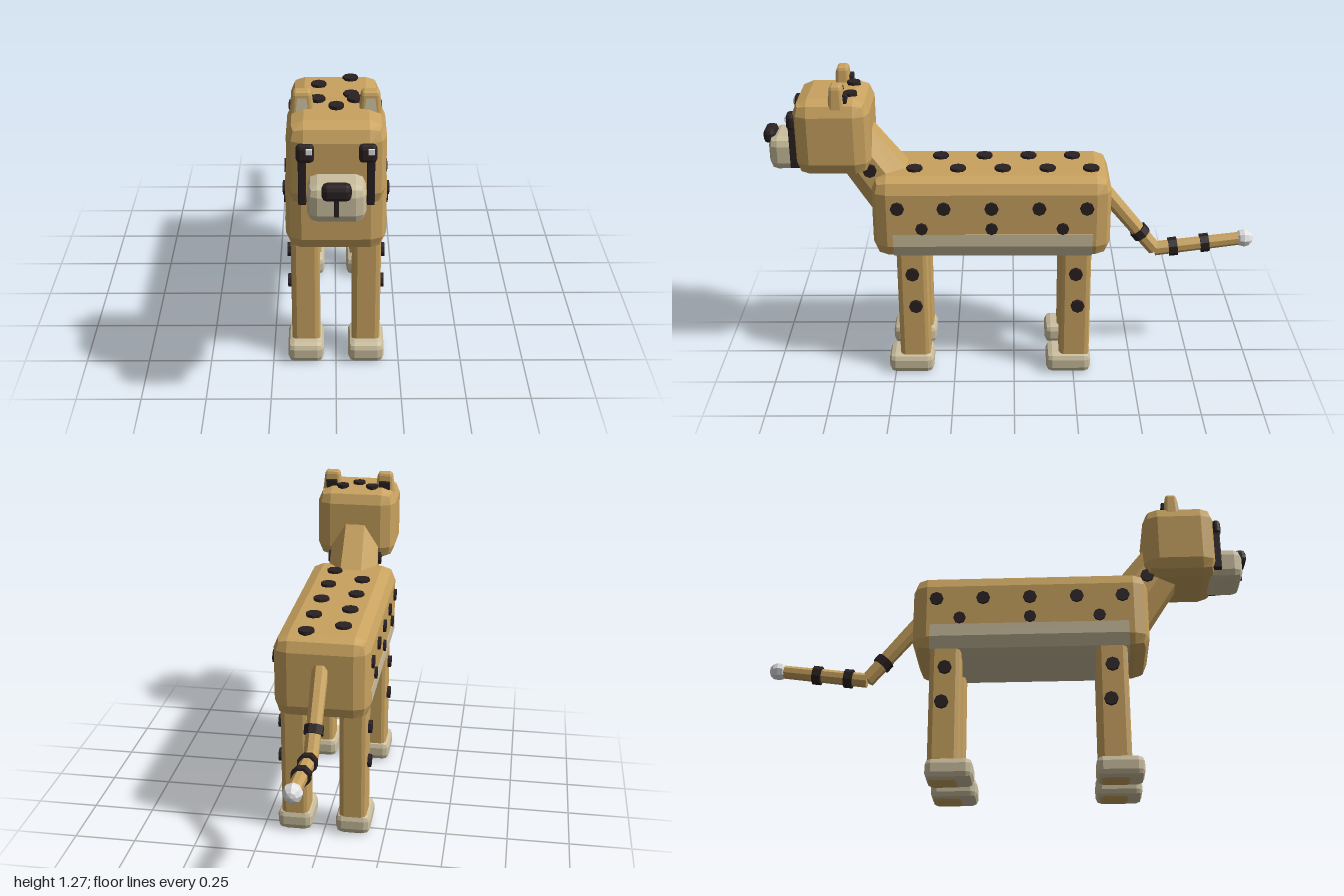
import * as THREE from 'three';
import { RoundedBoxGeometry } from 'three/addons/geometries/RoundedBoxGeometry.js';

export function createModel() {
  const model = new THREE.Group();
  model.name = 'spottedCat';

  const material = (name, color) => {
    const m = new THREE.MeshStandardMaterial({ color });
    m.name = name;
    return m;
  };
  const tan = material('tanFur', 0xc9a35f);
  const cream = material('creamFur', 0xcbbf9f);
  const black = material('blackMarkings', 0x2a2022);
  const white = material('white', 0xe2e2e2);

  // Adds a mesh with faceted normals
  const add = (name, geometry, mat, x = 0, y = 0, z = 0) => {
    const g = geometry.index ? geometry.toNonIndexed() : geometry;
    g.computeVertexNormals();
    const mesh = new THREE.Mesh(g, mat);
    mesh.name = name;
    mesh.position.set(x, y, z);
    model.add(mesh);
    return mesh;
  };

  // Box with bevelled edges, given by its centre and size
  const block = (name, mat, [x, y, z], [w, h, d], r) =>
    add(name, new RoundedBoxGeometry(w, h, d, 1, r), mat, x, y, z);

  // Straight limb in the x = 0 plane between two [y, z] points
  const limb = (name, mat, a, b, ra, rb, sides) => {
    const dy = b[0] - a[0], dz = b[1] - a[1];
    const g = new THREE.CylinderGeometry(rb, ra, Math.hypot(dy, dz), sides);
    g.rotateY(Math.PI / sides).rotateX(Math.atan2(dz, dy));
    add(name, g, mat, 0, (a[0] + b[0]) / 2, (a[1] + b[1]) / 2);
  };

  // Flat octagonal spots facing sideways or upwards
  const sideSpot = (name, x, y, z, r = 0.028) =>
    add(name, new THREE.CylinderGeometry(r, r, 0.02, 8).rotateZ(Math.PI / 2), black, x, y, z);
  const topSpot = (name, x, y, z, r) =>
    add(name, new THREE.CylinderGeometry(r, r, 0.02, 8), black, x, y, z);

  // Body
  block('body', tan, [0, 0.714, 0.09], [0.38, 0.345, 0.96], 0.06);

  // Belly panel wrapped around the lower body
  const belly = new THREE.Shape([
    [-0.193, 0.655], [-0.193, 0.603], [-0.175, 0.554], [-0.13, 0.534],
    [0.13, 0.534], [0.175, 0.554], [0.193, 0.603], [0.193, 0.655],
  ].map(([x, y]) => new THREE.Vector2(x, y)));
  add('belly', new THREE.ExtrudeGeometry(belly, { depth: 0.803, bevelEnabled: false }), cream, 0, 0, -0.316);

  // Neck and head
  limb('neck', tan, [0.73, 0.455], [1.03, 0.67], 0.125, 0.105, 8);
  block('head', tan, [0, 1.047, 0.715], [0.344, 0.315, 0.3], 0.06);
  block('muzzle', cream, [0, 0.962, 0.9], [0.2, 0.138, 0.15], 0.035);
  block('nose', black, [0, 1.02, 0.975], [0.1, 0.06, 0.05], 0.018);
  block('mouth', black, [0, 0.96, 0.974], [0.016, 0.07, 0.012], 0.002);

  // Back spots
  for (const z of [-0.24, -0.06, 0.12, 0.3]) topSpot('backSpot', -0.07, 0.888, z, 0.033);
  for (const z of [-0.31, -0.135, 0.045, 0.225, 0.4]) topSpot('backSpot', 0.065, 0.888, z, 0.033);

  // Crown spots
  for (const [x, z] of [[-0.065, 0.64], [0.065, 0.64], [0, 0.7]]) topSpot('crownSpot', x, 1.207, z, 0.027);

  for (const s of [1, -1]) {
    // Eyes and tear stripes
    block('eye', black, [s * 0.106, 1.113, 0.872], [0.062, 0.066, 0.036], 0.014);
    block('eyeHighlight', white, [s * 0.105 + 0.012, 1.125, 0.889], [0.022, 0.022, 0.008], 0.002);
    block('tearStripe', black, [s * 0.117, 1.005, 0.866], [0.027, 0.17, 0.036], 0.003);

    // Ears narrow towards the tip
    const ear = new RoundedBoxGeometry(0.09, 0.12, 0.066, 1, 0.014);
    const p = ear.attributes.position;
    for (let i = 0; i < p.count; i++) {
      const k = 1 - 0.3 * (p.getY(i) / 0.12 + 0.5);
      p.setXYZ(i, p.getX(i) * k, p.getY(i), p.getZ(i) * k);
    }
    add('ear', ear, tan, s * 0.118, 1.206, 0.688);
    const inner = new THREE.Shape([[-0.024, 0], [0.024, 0], [0.016, 0.075], [-0.016, 0.075]]
      .map(([x, y]) => new THREE.Vector2(x, y)));
    add('innerEar', new THREE.ExtrudeGeometry(inner, { depth: 0.008, bevelEnabled: false }), cream,
      s * 0.118, 1.168, 0.715).rotation.x = -0.1;
    block('earBackPatch', black, [s * 0.118, 1.212, 0.654], [0.05, 0.038, 0.016], 0.004);

    // Flank and neck spots
    for (const z of [0.465, 0.28, 0.09, -0.1, -0.29]) sideSpot('flankSpot', s * 0.19, 0.77, z);
    for (const z of [0.37, 0.09, -0.195]) sideSpot('flankSpot', s * 0.19, 0.682, z, 0.025);
    sideSpot('neckSpot', s * 0.107, 0.9, 0.575);

    // Legs, paws and leg spots
    for (const [name, z, pawZ] of [['front', 0.415, 0.432], ['back', -0.252, -0.229]]) {
      block(name + 'Leg', tan, [s * 0.119, 0.29, z], [0.112, 0.58, 0.126], 0.02);
      block(name + 'Paw', cream, [s * 0.12, 0.047, pawZ], [0.142, 0.086, 0.186], 0.025);
      sideSpot(name + 'LegSpot', s * 0.179, 0.47, z);
      sideSpot(name + 'LegSpot', s * 0.179, 0.322, z - 0.01);
    }
  }

  // Tail in two straight runs with dark rings and a pale tip
  const root = [0.765, -0.37], bend = [0.497, -0.59], tip = [0.545, -0.955];
  limb('tailUpper', tan, root, bend, 0.034, 0.03, 8);
  limb('tailLower', tan, bend, tip, 0.03, 0.027, 8);
  const ring = (a, b, t) => {
    const at = (u) => [a[0] + (b[0] - a[0]) * u, a[1] + (b[1] - a[1]) * u];
    const h = 0.018 / Math.hypot(b[0] - a[0], b[1] - a[1]);
    limb('tailRing', black, at(t - h), at(t + h), 0.039, 0.039, 8);
  };
  ring(root, bend, 0.71);
  ring(bend, tip, 0.21);
  ring(bend, tip, 0.57);
  add('tailTip', new THREE.SphereGeometry(0.038, 8, 6).rotateX(Math.PI / 2), white, 0, 0.545, -0.962);

  return model;
}
